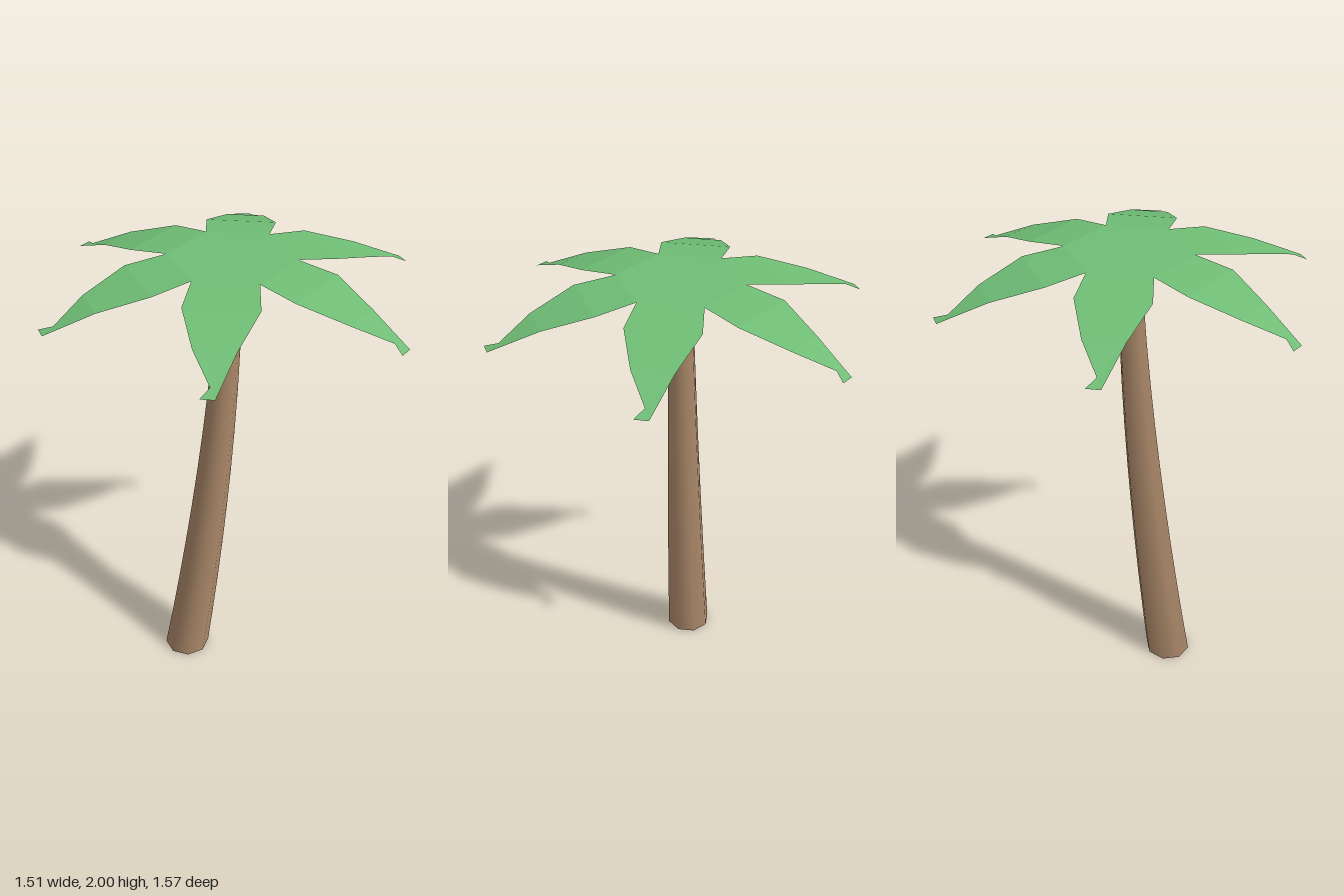
import * as THREE from 'three';

const bark = new THREE.MeshStandardMaterial({ color: 0xa98768 });
bark.name = 'bark brown';
const leaf = new THREE.MeshStandardMaterial({ color: 0x6fbd75, side: THREE.DoubleSide, flatShading: true });
leaf.name = 'palm green';

// Tapered eight-sided trunk, leaning at the foot and straightening towards the crown
function makeTrunk() {
  const height = 1.995;
  const geo = new THREE.CylinderGeometry(0.047, 0.102, height, 8, 10);
  geo.translate(0, height / 2, 0);
  const pos = geo.attributes.position;
  for (let i = 0; i < pos.count; i++) {
    const bend = Math.pow(Math.max(0, 1 - pos.getY(i) / height), 1.55);
    pos.setX(i, pos.getX(i) - 0.005 - 0.22 * bend);
    pos.setZ(i, pos.getZ(i) + 0.083 * bend);
  }
  const mesh = new THREE.Mesh(geo, bark);
  mesh.name = 'trunk';
  return mesh;
}

function facets(polygons) {
  const out = [];
  for (const p of polygons)
    for (let i = 1; i < p.length - 1; i++) out.push(...p[0], ...p[i], ...p[i + 1]);
  const geo = new THREE.BufferGeometry();
  geo.setAttribute('position', new THREE.Float32BufferAttribute(out, 3));
  geo.computeVertexNormals();
  return geo;
}

// One frond pointing to the back: left and right edges, then a hooked tip
const left = [[-0.09, 2, -0.245], [-0.08, 1.978, -0.415], [0.02, 1.92, -0.6], [0.11, 1.84, -0.785]];
const right = [[0.167, 2, -0.2], [0.21, 1.978, -0.365], [0.18, 1.92, -0.57], [0.125, 1.858, -0.73]];
const hook = [0.165, 1.84, -0.775];

function makeCrown() {
  const crown = new THREE.Group();
  crown.name = 'crown';
  const strips = [0, 1, 2].map(i => [left[i], right[i], right[i + 1], left[i + 1]]);
  const frondGeo = facets([...strips, [left[3], right[3], hook]]);
  const rim = [];
  for (let i = 0; i < 6; i++) {
    const angle = i * Math.PI / 3;
    const frond = new THREE.Mesh(frondGeo, leaf);
    frond.name = 'frond' + (i + 1);
    frond.rotation.y = angle;
    crown.add(frond);
    rim.push(new THREE.Vector3(...left[0]).applyAxisAngle(new THREE.Vector3(0, 1, 0), angle).toArray());
  }
  // Flat hexagon joining the fronds
  const centre = new THREE.Mesh(facets([rim]), leaf);
  centre.name = 'crownCentre';
  crown.add(centre);
  return crown;
}

export function createModel() {
  const palm = new THREE.Group();
  palm.name = 'palmTree';
  palm.add(makeTrunk(), makeCrown());
  return palm;
}
